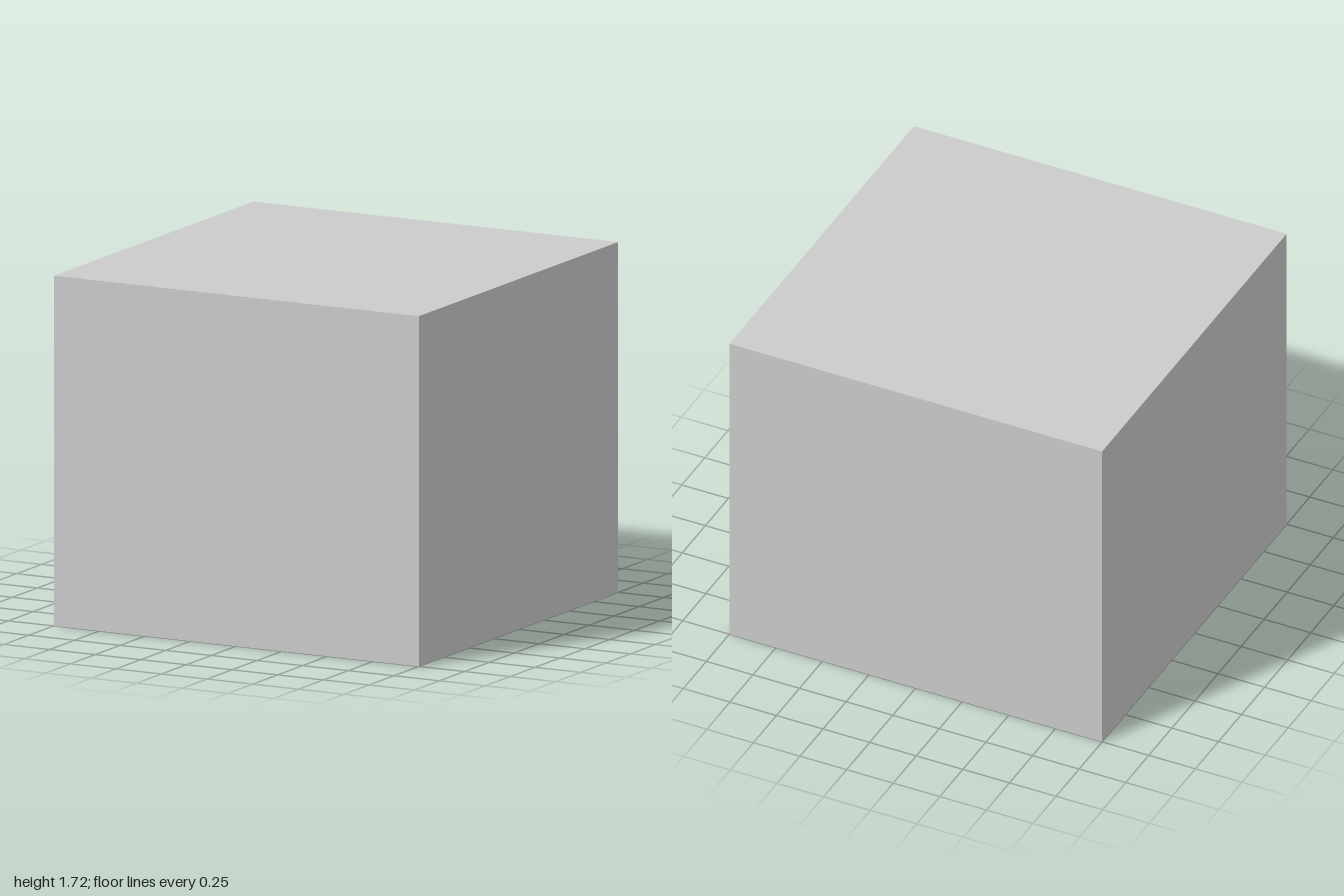
import * as THREE from 'three';

const HEIGHT = 1.72;
const CEILING = 1.52;    // underside of the top slab
const RIM_HEIGHT = 0.07; // lip around the bottom opening
const GROOVE = { x: -0.866, z0: 0.575, z1: 0.63 };

// Square ring with a small groove cut into the wall on the -x side
function ringShape(inner) {
  const shape = new THREE.Shape();
  shape.moveTo(-1, -1).lineTo(1, -1).lineTo(1, 1).lineTo(-1, 1).closePath();
  const { x, z0, z1 } = GROOVE;
  const hole = new THREE.Path([
    [-inner, -inner], [-inner, -z1], [x, -z1], [x, -z0], [-inner, -z0],
    [-inner, inner], [inner, inner], [inner, -inner],
  ].map(([px, py]) => new THREE.Vector2(px, py)));
  hole.closePath();
  shape.holes.push(hole);
  return shape;
}

export function createModel() {
  const model = new THREE.Group();
  model.name = 'hollowBox';
  const material = new THREE.MeshStandardMaterial({ color: 0xcccccc });

  function addPart(name, geometry, y) {
    const mesh = new THREE.Mesh(geometry, material);
    mesh.name = name;
    mesh.position.y = y;
    model.add(mesh);
  }

  // Upright ring of walls, extruded along y
  function addRing(name, inner, y0, y1) {
    const geometry = new THREE.ExtrudeGeometry(ringShape(inner), { depth: y1 - y0, bevelEnabled: false });
    geometry.rotateX(-Math.PI / 2);
    addPart(name, geometry, y0);
  }

  addRing('bottomRim', 0.775, 0, RIM_HEIGHT);     // slightly narrower opening
  addRing('walls', 0.8, RIM_HEIGHT, CEILING);     // set back behind the rim
  addPart('topSlab', new THREE.BoxGeometry(2, HEIGHT - CEILING, 2), (HEIGHT + CEILING) / 2);

  return model;
}
